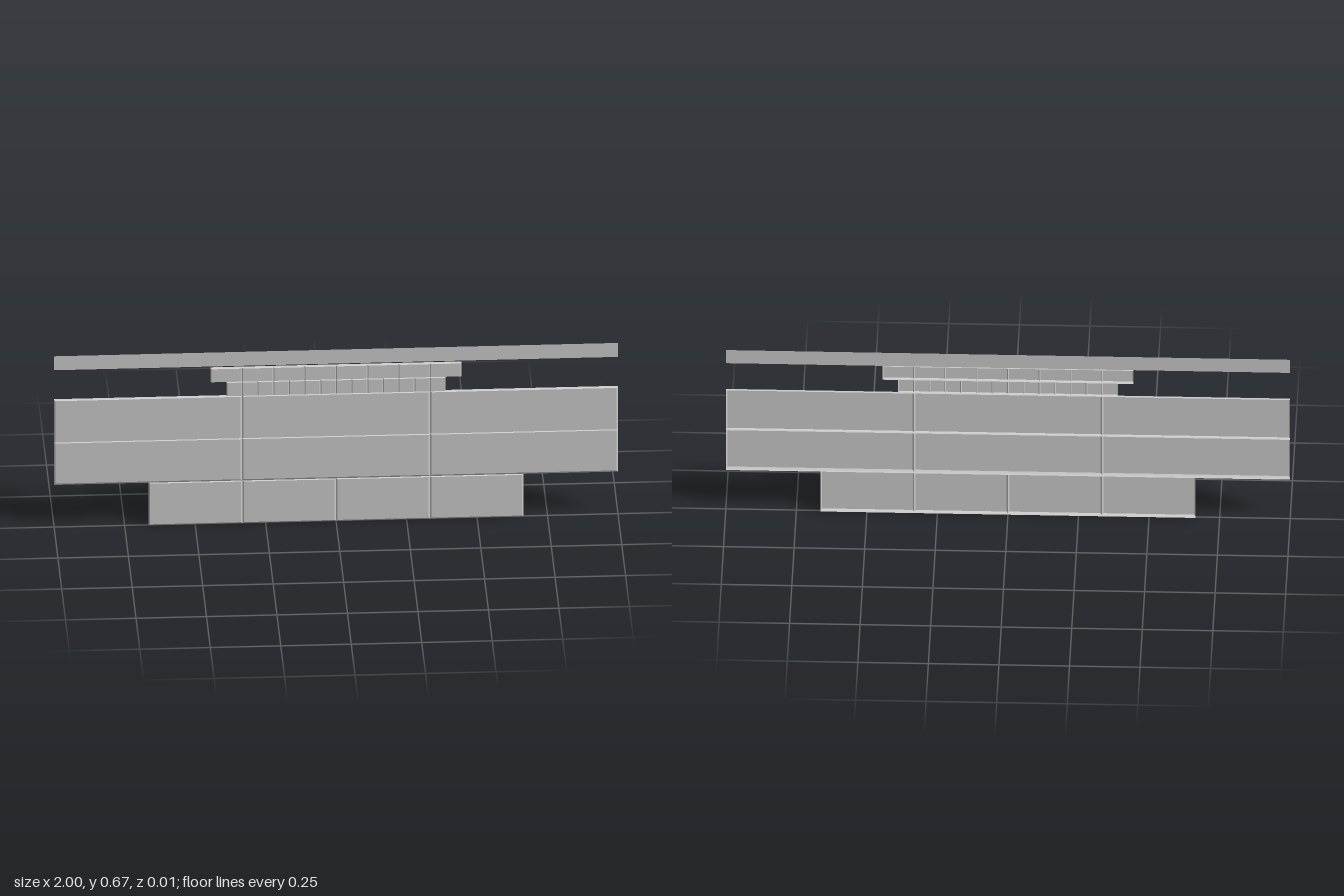
import * as THREE from 'three';

const BACK = -0.0065, SHOULDER = 0.002, FRONT = 0.0065;

const material = new THREE.MeshStandardMaterial({ color: 0xcccccc, flatShading: true, side: THREE.DoubleSide });

// Open-backed panel: straight sides, then a chamfer up to the flat face
function panelGeometry(width, height, side, bottom, top) {
  const w = width / 2;
  const loop = (s, b, t, z) => [[-w + s, b, z], [w - s, b, z], [w - s, height - t, z], [-w + s, height - t, z]];
  const loops = [loop(0, 0, 0, BACK), loop(0, 0, 0, SHOULDER), loop(side, bottom, top, FRONT)];
  const index = [];
  for (let k = 0; k < 2; k++) {
    for (let i = 0; i < 4; i++) {
      const a = k * 4 + i, b = k * 4 + (i + 1) % 4;
      index.push(a, b, b + 4, a, b + 4, a + 4);
    }
  }
  index.push(8, 9, 10, 8, 10, 11);
  const indexed = new THREE.BufferGeometry();
  indexed.setAttribute('position', new THREE.Float32BufferAttribute(loops.flat(2), 3));
  indexed.setIndex(index);
  const geometry = indexed.toNonIndexed();
  geometry.computeVertexNormals();
  return geometry;
}

// Row of equal panels centred on x = 0
function panelRow({ name, count, width, y0, y1, side, bottom, top }) {
  const row = new THREE.Group();
  row.name = name;
  const geometry = panelGeometry(width, y1 - y0, side, bottom, top);
  for (let i = 0; i < count; i++) {
    const panel = new THREE.Mesh(geometry, material);
    panel.name = name + 'Panel' + (i + 1);
    panel.position.set((i - (count - 1) / 2) * width, y0, 0);
    row.add(panel);
  }
  return row;
}

export function createModel() {
  const model = new THREE.Group();
  model.name = 'panelWall';

  const rows = [
    { name: 'baseRow', count: 4, width: 0.3325, y0: 0, y1: 0.167, side: 0.005, bottom: 0.005, top: 0.002 },
    { name: 'lowerWallRow', count: 3, width: 2 / 3, y0: 0.167, y1: 0.334, side: 0.005, bottom: 0.007, top: 0.002 },
    { name: 'upperWallRow', count: 3, width: 2 / 3, y0: 0.334, y1: 0.501, side: 0.005, bottom: 0.002, top: 0.002 },
    { name: 'smallBrickRow', count: 14, width: 1 / 18, y0: 0.501, y1: 0.557, side: 0.003, bottom: 0.002, top: 0.002 },
    { name: 'wideBrickRow', count: 8, width: 1 / 9, y0: 0.557, y1: 0.612, side: 0.003, bottom: 0.002, top: 0.002 },
  ];
  for (const row of rows) model.add(panelRow(row));

  // Thin flat strip along the top
  const strip = new THREE.Mesh(new THREE.PlaneGeometry(2, 0.055), material);
  strip.name = 'topStrip';
  strip.position.set(0, 0.6425, BACK);
  model.add(strip);

  return model;
}
